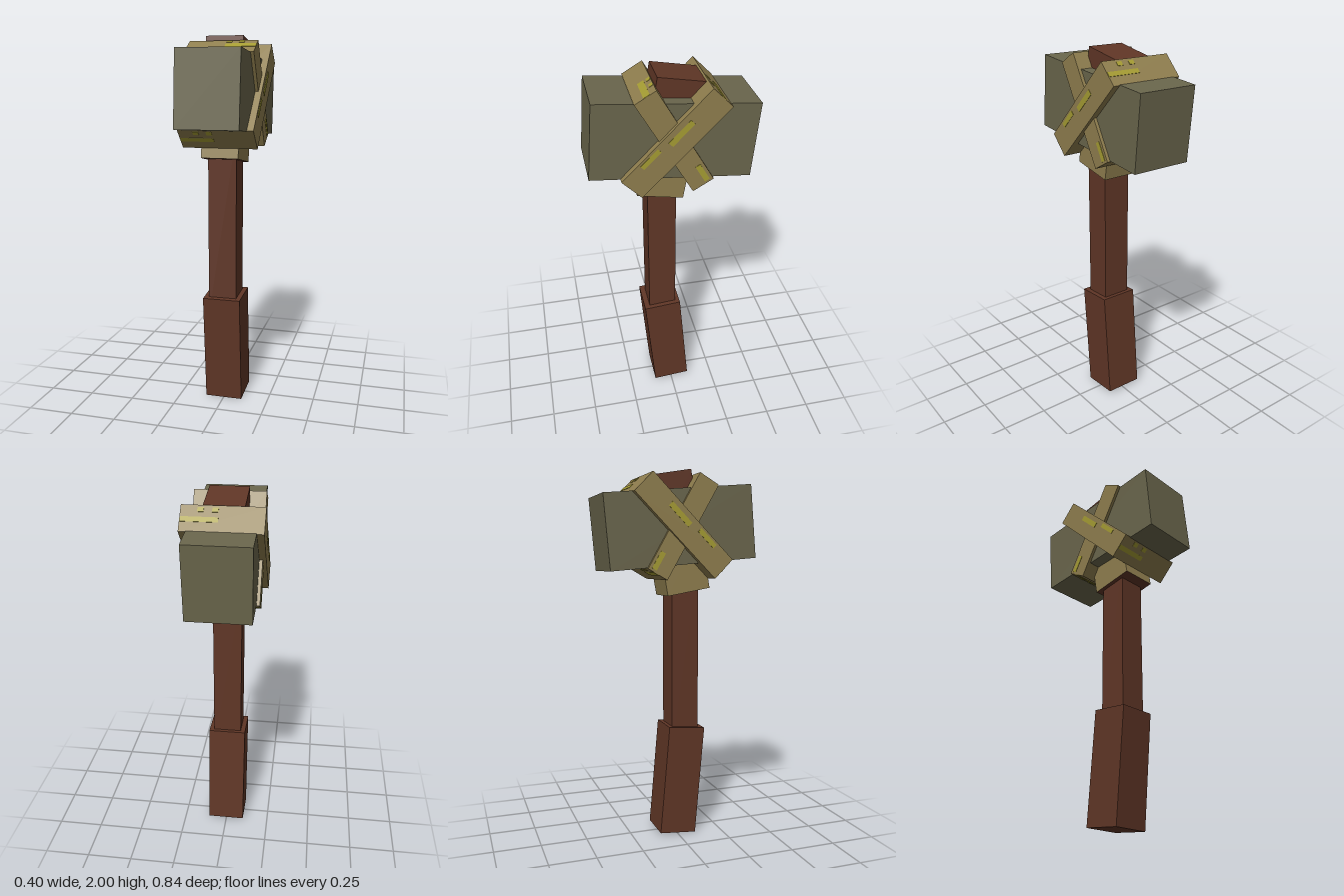
import * as THREE from 'three';

const mat = (name, color) => {
  const m = new THREE.MeshStandardMaterial({ color });
  m.name = name;
  return m;
};

export function createModel() {
  const wood = mat('brown wood', 0x603626);
  const stone = mat('grey stone', 0x6a664c);
  const wrap = mat('tan wrapping', 0x8f7e4e);
  const paint = mat('yellow paint', 0xa59c33);

  const model = new THREE.Group();
  model.name = 'stoneHammer';

  const box = (parent, name, material, [w, h, d], [x, y, z]) => {
    const mesh = new THREE.Mesh(new THREE.BoxGeometry(w, h, d), material);
    mesh.name = name;
    mesh.position.set(x, y, z);
    parent.add(mesh);
    return mesh;
  };
  // group tilted about the x axis
  const tilted = (name, y, z, degrees) => {
    const g = new THREE.Group();
    g.name = name;
    g.position.set(0, y, z);
    g.rotation.x = THREE.MathUtils.degToRad(degrees);
    model.add(g);
    return g;
  };
  const T = 0.004; // paint thickness

  // handle
  const grip = tilted('grip', 0.309, 0.025, 5);
  box(grip, 'gripBlock', wood, [0.206, 0.602, 0.204], [0, 0, 0]);
  box(model, 'shaft', wood, [0.154, 1.0, 0.15], [0, 1.0, 0.048]);

  // socket through the head: wrapped below, bare wood on top
  const socket = tilted('socket', 1.667, 0.0055, -10);
  const collarFaces = [wrap, wrap, wrap, wood, wrap, wrap];
  box(socket, 'collar', collarFaces, [0.2, 0.316, 0.242], [0, -0.158, 0]);
  box(socket, 'handleTop', wood, [0.2, 0.316, 0.242], [0, 0.158, 0]);

  // head
  const head = tilted('head', 1.697, 0, -5);
  box(head, 'headBlock', stone, [0.33, 0.39, 0.812], [0, 0, 0]);

  // wide band, long along its own z
  const wide = tilted('wideBand', 1.697, 0, 45);
  box(wide, 'wideBandBlock', wrap, [0.4, 0.14, 0.62], [0, 0, 0]);
  for (const s of [1, -1]) {
    const x = s * 0.2;
    box(wide, 'sideStreak', paint, [T, 0.03, 0.15], [x, 0.025, -0.06]);
    box(wide, 'sideStreak', paint, [T, 0.026, 0.12], [x, 0.045, 0.13]);
    // end streaks, swapped from end to end
    box(wide, 'endStreak', paint, [0.18, 0.026, T], [s * 0.108, -0.005, -s * 0.31]);
    for (const u of [0.035, 0.105])
      box(wide, 'endSpot', paint, [0.03, 0.024, T], [s * u, 0.046, -s * 0.31]);
  }

  // narrow band, long along its own y
  const narrow = tilted('narrowBand', 1.697, 0, 30);
  box(narrow, 'narrowBandBlock', wrap, [0.364, 0.567, 0.12], [0, 0, 0]);
  for (const s of [1, -1]) {
    box(narrow, 'sideStreak', paint, [T, 0.1, 0.028], [s * 0.182, -0.22, -0.03]);
    box(narrow, 'endStreak', paint, [0.162, T, 0.034], [s * 0.1, s * 0.2835, -0.008]);
    for (const u of [0.035, 0.1])
      box(narrow, 'endSpot', paint, [0.028, T, 0.02], [s * u, s * 0.2835, -0.047]);
  }
  return model;
}
